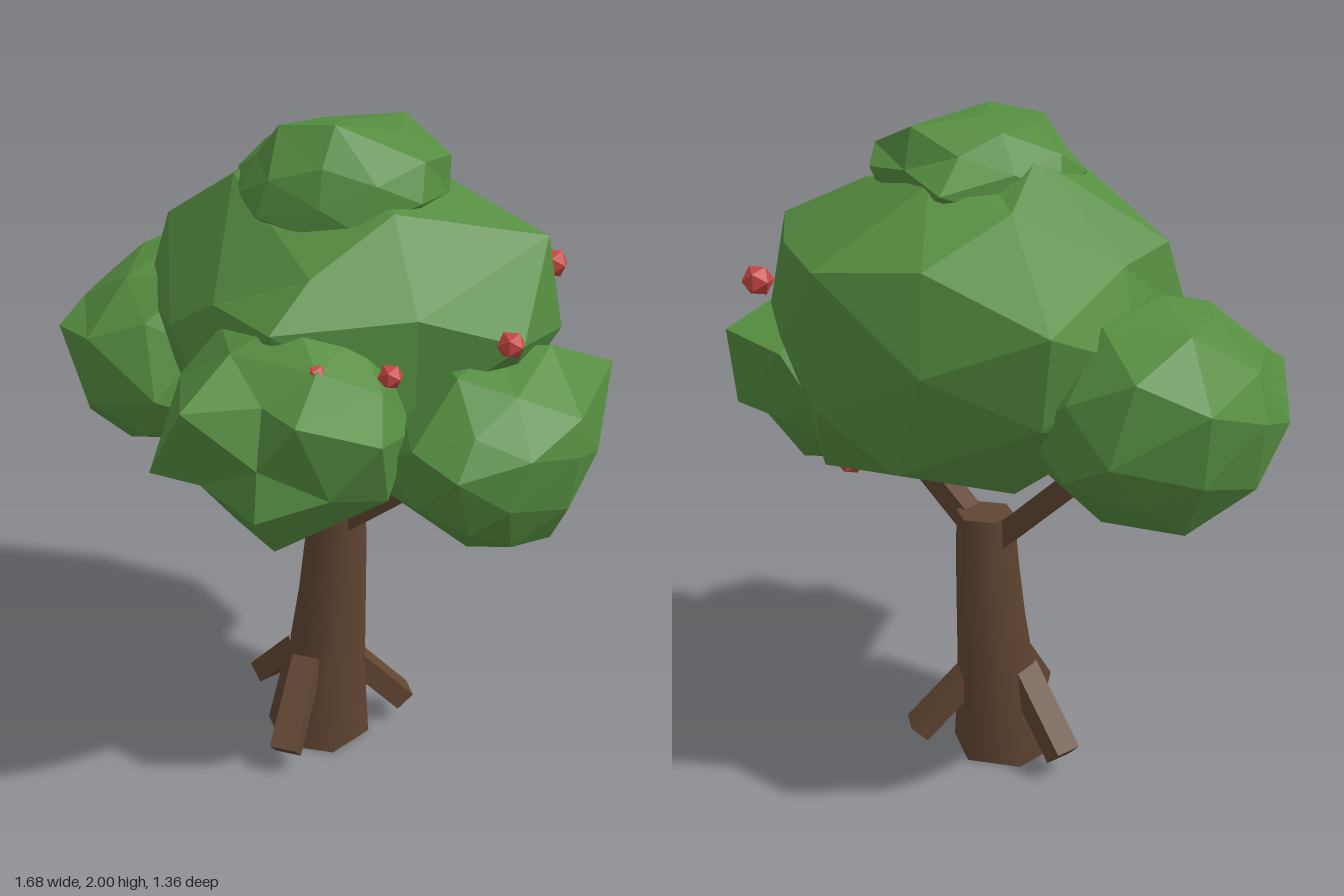
import * as THREE from 'three';
import { mergeVertices } from 'three/addons/utils/BufferGeometryUtils.js';

const V = (a) => new THREE.Vector3(...a);

// Small seeded random source in -1..1
function seeded(seed) {
  let s = seed;
  return () => {
    s = (s * 16807) % 2147483647;
    return (s / 2147483647) * 2 - 1;
  };
}

// Faceted leaf clump: a jittered icosphere fitted to a box, with some corners pulled to peaks
function clumpGeometry({ min, max, peaks, seed }) {
  const rand = seeded(seed);
  let geo = new THREE.IcosahedronGeometry(1, 1);
  geo.deleteAttribute('normal');
  geo.deleteAttribute('uv');
  geo = mergeVertices(geo, 1e-3);
  const pos = geo.attributes.position;
  const p = new THREE.Vector3();
  for (let i = 0; i < pos.count; i++) {
    p.fromBufferAttribute(pos, i).multiplyScalar(1 + 0.06 * rand());
    pos.setXYZ(i, p.x, p.y, p.z);
  }
  geo.computeBoundingBox();
  const from = geo.boundingBox;
  const box = new THREE.Box3(V(min), V(max));
  const scale = box.getSize(new THREE.Vector3()).divide(from.getSize(new THREE.Vector3()));
  for (let i = 0; i < pos.count; i++) {
    p.fromBufferAttribute(pos, i).sub(from.min).multiply(scale).add(box.min);
    pos.setXYZ(i, p.x, p.y, p.z);
  }
  // Each peak takes over the corner that lies closest to it
  const used = new Set();
  for (const peak of peaks.map(V)) {
    let best = -1, bestDist = Infinity;
    for (let i = 0; i < pos.count; i++) {
      const d = p.fromBufferAttribute(pos, i).distanceTo(peak);
      if (!used.has(i) && d < bestDist) { best = i; bestDist = d; }
    }
    used.add(best);
    pos.setXYZ(best, peak.x, peak.y, peak.z);
  }
  const flat = geo.toNonIndexed();
  flat.computeVertexNormals();
  return flat;
}

export function createModel() {
  const tree = new THREE.Group();
  tree.name = 'tree';

  const bark = new THREE.MeshStandardMaterial({ color: 0x614532 });
  bark.name = 'bark brown';
  const leaf = new THREE.MeshStandardMaterial({ color: 0x558d40, flatShading: true });
  leaf.name = 'leaf green';
  const red = new THREE.MeshStandardMaterial({ color: 0xc64543, flatShading: true });
  red.name = 'berry red';

  const add = (name, geo, mat) => {
    const mesh = new THREE.Mesh(geo, mat);
    mesh.name = name;
    tree.add(mesh);
    return mesh;
  };

  // Trunk: a six-sided cylinder whose rings follow a leaning, flared profile [y, x, z, radius]
  const rings = [
    [0, -0.001, -0.022, 0.168], [0.16, 0.01, -0.037, 0.144], [0.32, 0.024, -0.053, 0.122],
    [0.48, 0.034, -0.066, 0.109], [0.65, 0.042, -0.074, 0.099], [0.81, 0.046, -0.079, 0.09],
  ];
  const trunk = new THREE.CylinderGeometry(1, 1, 1, 6, rings.length - 1, false, Math.PI / 2);
  const tp = trunk.attributes.position;
  for (let i = 0; i < tp.count; i++) {
    const [y, x, z, r] = rings[Math.round((tp.getY(i) + 0.5) * (rings.length - 1))];
    tp.setXYZ(i, x + tp.getX(i) * r, y, z + tp.getZ(i) * r);
  }
  add('trunk', trunk, bark);

  // Square beams between two points, for branches and roots
  const beam = (name, a, b, width, depth) => {
    const start = V(a), end = V(b);
    const mesh = add(name, new THREE.BoxGeometry(width, depth, start.distanceTo(end)), bark);
    mesh.position.copy(start).add(end).multiplyScalar(0.5);
    mesh.lookAt(end);
  };
  beam('leftBranch', [0.06, 0.735, -0.06], [0.43, 1.06, 0.1], 0.07, 0.068);
  beam('rightBranch', [0.02, 0.715, -0.08], [-0.36, 1.08, -0.19], 0.07, 0.068);
  beam('frontRoot', [-0.02, 0.285, 0.04], [-0.04, 0.075, 0.25], 0.085, 0.07);
  beam('leftRoot', [0.09, 0.265, -0.06], [0.255, 0.075, -0.14], 0.085, 0.07);
  beam('rightRoot', [-0.06, 0.285, -0.06], [-0.225, 0.075, -0.185], 0.085, 0.07);

  // Foliage clumps
  const clumps = {
    mainFoliage: {
      min: [-0.55, 0.94, -0.65], max: [0.68, 1.88, 0.45], seed: 11,
      peaks: [
        [0.64, 1.69, -0.08], [0.69, 1.42, -0.1], [0.62, 1.48, 0.24], [-0.01, 1.54, 0.48],
        [-0.48, 1.67, -0.12], [0.37, 1.64, -0.58], [0.06, 1.4, -0.66], [-0.27, 1.52, -0.63],
        [0.15, 1.11, -0.59], [-0.13, 1.89, -0.2], [0.12, 1.84, -0.36], [-0.55, 1.42, -0.09],
        [-0.37, 1.45, 0.22], [0.42, 1.05, -0.41], [-0.24, 1.83, 0],
      ],
    },
    rightFoliage: {
      min: [-0.83, 0.91, -0.66], max: [-0.12, 1.55, 0.2], seed: 23,
      peaks: [
        [-0.84, 1.22, -0.23], [-0.79, 1.28, -0.44], [-0.8, 1.33, 0], [-0.43, 1.21, -0.68],
        [-0.63, 1.51, -0.3], [-0.43, 0.91, -0.2], [-0.43, 1.2, 0.21], [-0.74, 1.04, -0.05],
      ],
    },
    leftFoliage: {
      min: [0.22, 0.9, -0.22], max: [0.83, 1.44, 0.52], seed: 37,
      peaks: [
        [0.84, 1.33, -0.1], [0.82, 1.1, -0.09], [0.72, 0.9, 0.19], [0.5, 0.9, 0.3],
        [0.42, 1.2, -0.24], [0.62, 1.3, -0.22], [0.68, 1.44, 0.1], [0.5, 1.2, 0.53],
        [0.79, 1.2, 0.29], [0.63, 1.1, 0.46], [0.46, 1.41, 0.33],
      ],
    },
    frontFoliage: {
      min: [-0.33, 0.93, -0.02], max: [0.34, 1.54, 0.66], seed: 51,
      peaks: [
        [-0.32, 1.16, 0.57], [-0.19, 1.39, 0.68], [0.11, 1.38, 0.68], [0, 1.1, 0.68],
        [0.31, 1.3, 0.57], [0.06, 0.92, 0.28], [0.03, 1.57, 0.38], [0.13, 1.475, 0.535],
        [0.02, 0.96, 0.56], [-0.28, 1.38, 0.4],
      ],
    },
    topFoliage: {
      min: [-0.24, 1.6, -0.32], max: [0.36, 1.98, 0.2], seed: 67,
      peaks: [
        [-0.1, 1.98, 0.03], [0.07, 2, 0.08], [0.2, 1.97, -0.25], [0.36, 1.9, -0.08],
        [0.07, 1.82, -0.43], [-0.24, 1.84, -0.05], [0, 1.73, 0.2], [0.16, 1.74, 0.19],
        [-0.13, 1.76, 0.17], [0.34, 1.85, -0.19],
      ],
    },
  };
  for (const [name, spec] of Object.entries(clumps)) add(name, clumpGeometry(spec), leaf);

  // Berries scattered on the foliage [x, y, z, radius]
  const berries = [
    [0.637, 1.54, -0.305, 0.046], [0.585, 1.485, 0.245, 0.04], [0.29, 1.42, 0.38, 0.036],
    [0.12, 1.46, 0.512, 0.032], [0.34, 1.075, -0.425, 0.04],
  ];
  berries.forEach(([x, y, z, r], i) => {
    add('berry' + (i + 1), new THREE.IcosahedronGeometry(r, 0), red).position.set(x, y, z);
  });

  return tree;
}
